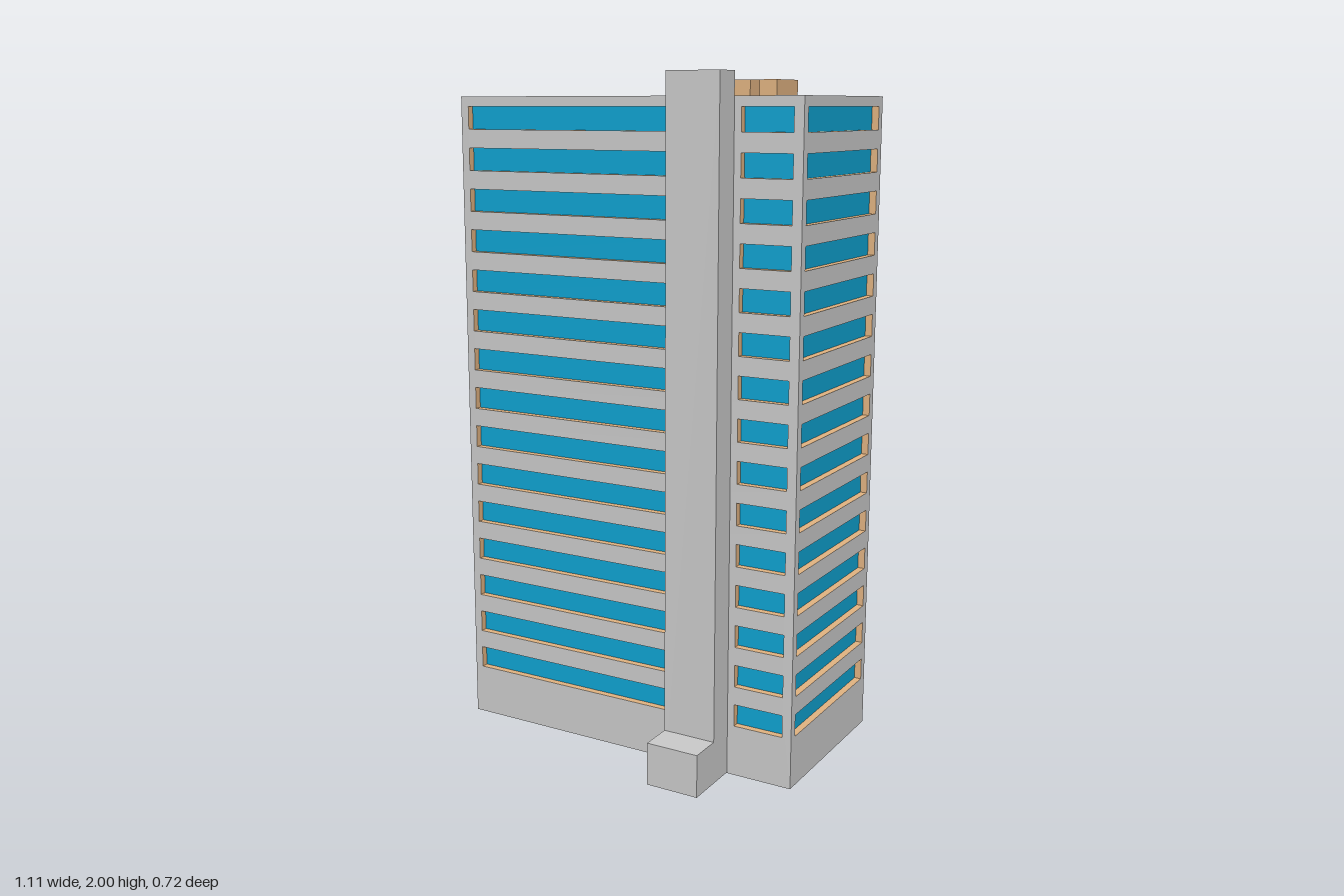
import * as THREE from 'three';
import { mergeGeometries } from 'three/addons/utils/BufferGeometryUtils.js';

const X = 0.555, ZF = 0.178, ZB = -0.362, TOP = 1.935, ROOF = 1.905;
const WALL = 0.025, RECESS = 0.021;
const FLOORS = 15, SILL = 0.152, PITCH = 0.1206, WIN_H = 0.066;

const material = (color, side = THREE.FrontSide) =>
  new THREE.MeshStandardMaterial({ color, side, flatShading: true });

export function createModel() {
  const grey = material(0xcccccc);
  const tan = material(0xe2b482);
  const blue = material(0x0fa3d2, THREE.DoubleSide);
  const green = material(0x4f8f55);
  const model = new THREE.Group();

  const add = (parent, name, geometry, mat) => {
    const mesh = new THREE.Mesh(geometry, mat);
    mesh.name = name;
    parent.add(mesh);
    return mesh;
  };
  const box = (parent, name, mat, x0, x1, y0, y1, z0, z1) =>
    add(parent, name, new THREE.BoxGeometry(x1 - x0, y1 - y0, z1 - z0), mat)
      .position.set((x0 + x1) / 2, (y0 + y1) / 2, (z0 + z1) / 2);
  const rect = (Type, x0, x1, y0, y1) => new Type([
    [x0, y0], [x1, y0], [x1, y1], [x0, y1],
  ].map(([x, y]) => new THREE.Vector2(x, y)));

  // Four inward-facing sides of a window opening
  const reveal = (w, h) => {
    const g = new THREE.BoxGeometry(w, h, RECESS);
    g.setIndex(Array.from(g.index.array.slice(0, 24)).reverse());
    g.clearGroups();
    g.computeVertexNormals();
    return g;
  };

  // A facade in its own plane: pierced wall, window reveals and set-back glass
  function facade(name, width, bays, x, z, angle) {
    const group = new THREE.Group();
    group.name = name;
    const wall = rect(THREE.Shape, -width / 2, width / 2, 0, TOP);
    const reveals = [], panes = [];
    for (let i = 0; i < FLOORS; i++) {
      const y = SILL + i * PITCH;
      for (const [a, b] of bays) {
        wall.holes.push(rect(THREE.Path, a, b, y, y + WIN_H));
        const cx = (a + b) / 2, cy = y + WIN_H / 2;
        reveals.push(reveal(b - a, WIN_H).translate(cx, cy, -RECESS / 2));
        panes.push(new THREE.PlaneGeometry(b - a, WIN_H).translate(cx, cy, -RECESS));
      }
    }
    add(group, name + 'Wall', new THREE.ShapeGeometry(wall), grey);
    add(group, name + 'Reveals', mergeGeometries(reveals), tan);
    add(group, name + 'Glass', mergeGeometries(panes), blue);
    group.position.set(x, 0, z);
    group.rotation.y = angle;
    model.add(group);
  }

  const depth = ZF - ZB, midZ = (ZF + ZB) / 2;
  const sideBay = [[-0.244, 0.244]];
  facade('front', 2 * X, [[-0.53, 0.17], [0.373, 0.526]], 0, ZF, 0);
  facade('back', 2 * X, [[-0.53, -0.377], [-0.33, -0.024], [0.026, 0.53]], 0, ZB, Math.PI);
  facade('leftSide', depth, sideBay, X, midZ, Math.PI / 2);
  facade('rightSide', depth, sideBay, -X, midZ, -Math.PI / 2);

  // Parapet ring around the sunken roof
  const ring = rect(THREE.Shape, -X, X, -ZF, -ZB);
  ring.holes.push(rect(THREE.Path, -X + WALL, X - WALL, -ZF + WALL, -ZB - WALL));
  const parapet = add(model, 'parapet', new THREE.ExtrudeGeometry(ring, {
    depth: TOP - ROOF - 0.001, bevelEnabled: false,
  }), grey);
  parapet.scale.set(0.9998, 0.9998, 1);
  parapet.rotation.x = -Math.PI / 2;
  parapet.position.y = ROOF + 0.001;

  const slab = (name, mat, x0, x1, z0, z1, y, up) => {
    const mesh = add(model, name, new THREE.PlaneGeometry(x1 - x0, z1 - z0), mat);
    mesh.rotation.x = up ? -Math.PI / 2 : Math.PI / 2;
    mesh.position.set((x0 + x1) / 2, y, (z0 + z1) / 2);
  };
  slab('roofDeck', tan, -X + WALL, X - WALL, ZB + WALL, ZF - WALL, ROOF, true);
  slab('buildingUnderside', tan, -X, X, ZB, ZF, 0, false);

  // Lift tower and entrance block on the front
  box(model, 'tower', grey, 0.19, 0.352, 0.002, 2, ZF, 0.262);
  box(model, 'entrance', grey, 0.19, 0.352, 0.002, 0.13, 0.262, 0.362);
  slab('towerUnderside', green, 0.19, 0.352, ZF, 0.262, 0, false);
  slab('entranceUnderside', tan, 0.19, 0.352, 0.262, 0.362, 0, false);

  // Rooftop plant: three cabinets and two ducts that bend down
  const plant = new THREE.Group();
  plant.name = 'roofPlant';
  model.add(plant);
  for (const x of [0.155, 0.238, 0.32])
    box(plant, 'cabinet', tan, x, x + 0.053, ROOF, 1.98, -0.172, -0.035);
  const duct = new THREE.Shape([
    [0.156, 1.943], [0.156, 1.964], [0.063, 1.962], [0.05, 1.952],
    [0.045, 1.935], [0.045, 1.922], [0.063, 1.922], [0.066, 1.938], [0.074, 1.943],
  ].map(([x, y]) => new THREE.Vector2(x, y)));
  for (const z of [-0.142, -0.083])
    add(plant, 'duct', new THREE.ExtrudeGeometry(duct, {
      depth: 0.017, bevelEnabled: false,
    }), tan).position.z = z;

  return model;
}
